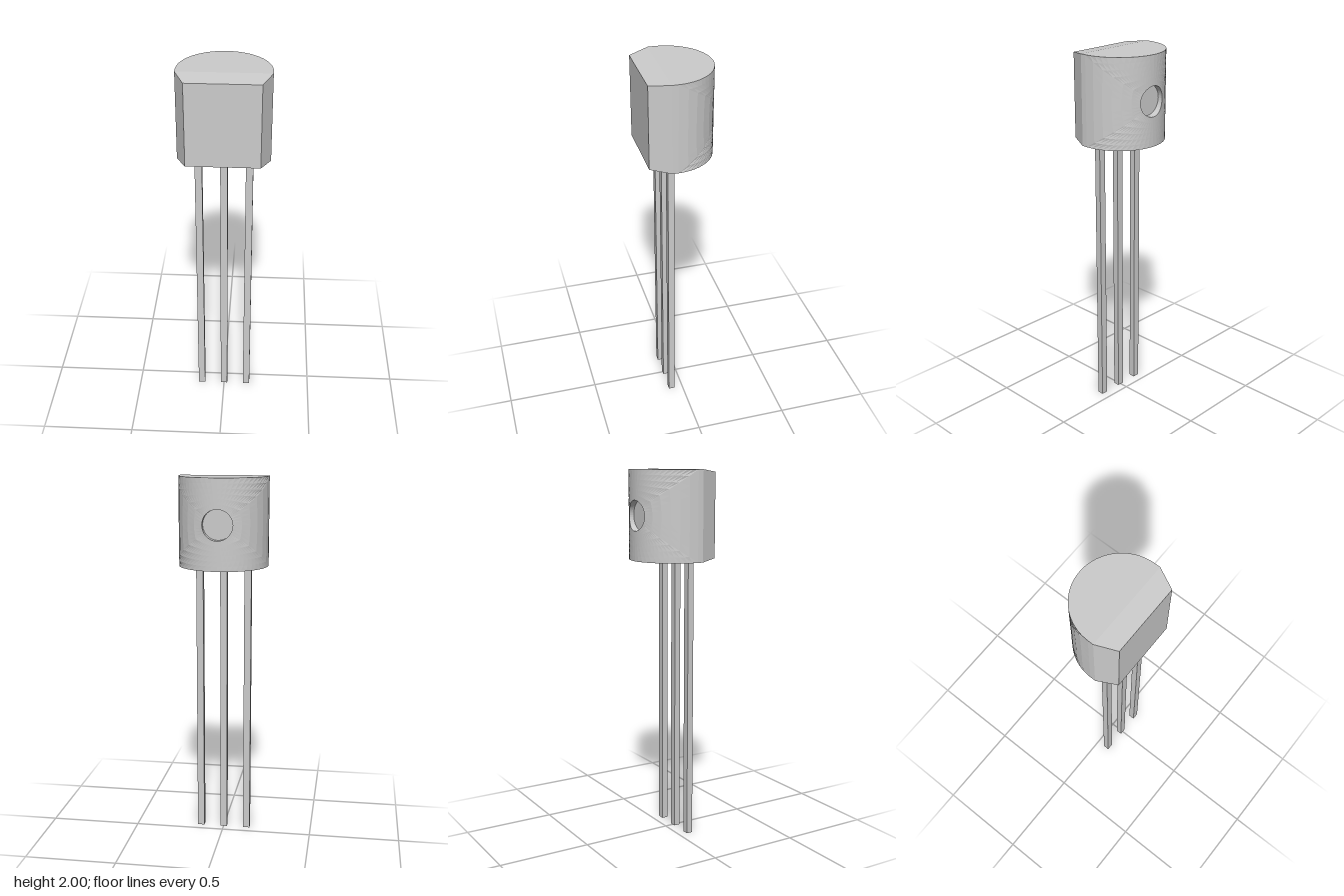
import * as THREE from 'three';

const R = 0.24, ZC = 0.05;              // rounded back: radius and axis
const Y0 = 1.525, Y1 = 2, YM = (Y0 + Y1) / 2;
const SHOULDER = 0.08, FRONT = 0.187, FRONT_X = 0.19, DRAFT = 0.013;
const DIMPLE_R = 0.08, DIMPLE_Z = -0.15;

// Surface from quads, corners anticlockwise seen from outside
function quadGeometry(quads) {
  const pos = [];
  for (const [a, b, c, d] of quads) pos.push(...a, ...b, ...c, ...a, ...c, ...d);
  const g = new THREE.BufferGeometry();
  g.setAttribute('position', new THREE.Float32BufferAttribute(pos, 3));
  g.computeVertexNormals();
  return g;
}

// Wraps a flat point (arc length u, height v) round the back
const wrap = (u, v) => [R * Math.sin(u / R), YM + v, ZC - R * Math.cos(u / R)];

// Curved back with its round dimple: rings from dimple centre to wall border
function backGeometry() {
  const U = R * Math.PI / 2, V = (Y1 - Y0) / 2, border = [];
  const side = (x0, y0, x1, y1, n) => {
    for (let i = 0; i < n; i++) border.push([x0 + (x1 - x0) * i / n, y0 + (y1 - y0) * i / n]);
  };
  side(U, -V, U, V, 8);
  side(U, V, -U, V, 24);
  side(-U, V, -U, -V, 8);
  side(-U, -V, U, -V, 24);

  const columns = border.map(([bu, bv]) => {
    const a = Math.atan2(bv, bu);
    const x = DIMPLE_R * Math.cos(a), y = DIMPLE_R * Math.sin(a);
    const u = R * Math.asin(x / R);
    const col = [[0, YM, DIMPLE_Z], [x, YM + y, DIMPLE_Z]];
    for (let k = 0; k <= 6; k++) {
      const t = k / 6;
      col.push(wrap(u + (bu - u) * t, y + (bv - y) * t));
    }
    return col;
  });
  const quads = [];
  columns.forEach((p, i) => {
    const q = columns[(i + 1) % columns.length];
    for (let k = 0; k < p.length - 1; k++) quads.push([p[k], q[k], q[k + 1], p[k + 1]]);
  });
  return quadGeometry(quads);
}

// Flat front, chamfered corners, short straight flanks and sloping front edges
function frontGeometry() {
  const p = (x, z, top) => {
    const d = z === FRONT ? DRAFT : 0;
    return [x, top ? Y1 - d : Y0 + d, z];
  };
  const plan = [[-R, ZC], [-R, SHOULDER], [-FRONT_X, FRONT], [FRONT_X, FRONT], [R, SHOULDER], [R, ZC]];
  const quads = [];
  for (let i = 0; i < plan.length - 1; i++) {
    const a = plan[i], b = plan[i + 1];
    quads.push([p(...a, false), p(...b, false), p(...b, true), p(...a, true)]);
  }
  const slope = top => [p(-FRONT_X, FRONT, top), p(FRONT_X, FRONT, top), p(R, SHOULDER, top), p(-R, SHOULDER, top)];
  quads.push(slope(true), slope(false).reverse());
  return quadGeometry(quads);
}

// D-shaped end cap lying level
function capGeometry(top) {
  const s = new THREE.Shape();
  s.moveTo(-R, -SHOULDER);
  s.lineTo(R, -SHOULDER);
  s.lineTo(R, -ZC);
  s.absarc(0, -ZC, R, 0, Math.PI, false);
  const g = new THREE.ShapeGeometry(s, 24);
  if (!top) g.scale(1, -1, 1);
  g.rotateX(top ? -Math.PI / 2 : Math.PI / 2);
  g.translate(0, top ? Y1 : Y0, 0);
  if (!top) {
    // Reverse the corners after the mirror so the cap faces down
    const ix = g.index.array;
    for (let i = 0; i < ix.length; i += 3) [ix[i], ix[i + 2]] = [ix[i + 2], ix[i]];
    // Turn the outline the right way round
    const pos = g.attributes.position;
    const maxZ = Math.max(...Array.from({ length: pos.count }, (_, i) => pos.getZ(i)));
    if (maxZ > SHOULDER + 1e-4) {
      for (let i = 0; i < pos.count; i++) pos.setZ(i, -pos.getZ(i));
    }
    g.computeVertexNormals();
  }
  return g;
}

export function createModel() {
  const material = new THREE.MeshStandardMaterial({
    color: 0xcccccc, flatShading: true, side: THREE.DoubleSide,
  });
  const model = new THREE.Group();
  model.name = 'transistor';
  const add = (parent, name, geometry) => {
    const mesh = new THREE.Mesh(geometry, material);
    mesh.name = name;
    parent.add(mesh);
    return mesh;
  };

  // Moulded case
  const body = new THREE.Group();
  body.name = 'case';
  add(body, 'roundedBack', backGeometry());
  add(body, 'flatFront', frontGeometry());
  add(body, 'topCap', capGeometry(true));
  add(body, 'bottomCap', capGeometry(false));
  model.add(body);

  // Three square leads
  ['rightLead', 'middleLead', 'leftLead'].forEach((name, i) => {
    add(model, name, new THREE.BoxGeometry(0.038, Y0, 0.034))
      .position.set((i - 1) * 0.132, Y0 / 2, 0.064);
  });
  return model;
}
